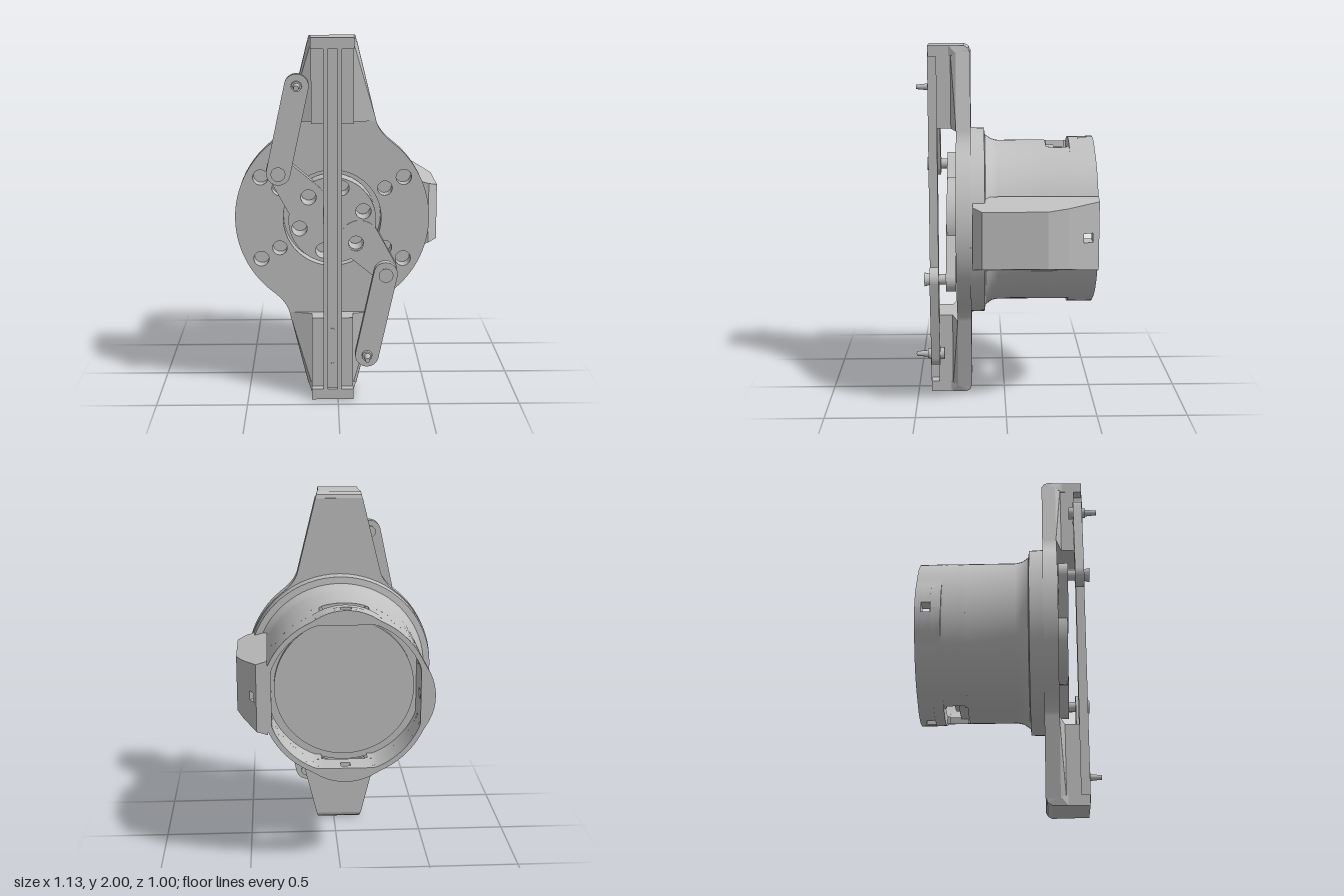
import * as THREE from 'three';
import { toCreasedNormals } from 'three/addons/utils/BufferGeometryUtils.js';
import { ConvexGeometry } from 'three/addons/geometries/ConvexGeometry.js';

const grey = new THREE.MeshStandardMaterial({ color: 0xc0c0c0 });
grey.name = 'plain grey';
const PI = Math.PI;

export function createModel() {
  const root = new THREE.Group();
  // Everything is laid out around the main axis
  const unit = new THREE.Group();
  unit.name = 'gripperUnit';
  unit.position.set(-0.03, 1, 0);
  root.add(unit);

  const add = (name, geo, parent = unit) => {
    const mesh = new THREE.Mesh(geo, grey);
    mesh.name = name;
    parent.add(mesh);
    return mesh;
  };
  const slab = (name, shape, z0, z1, parent) => {
    const geo = new THREE.ExtrudeGeometry(shape, { depth: z1 - z0, bevelEnabled: false, curveSegments: 40 });
    geo.translate(0, 0, z0);
    return add(name, toCreasedNormals(geo, 0.45), parent);
  };
  const box = (name, x0, x1, y0, y1, z0, z1, parent) =>
    add(name, new THREE.BoxGeometry(x1 - x0, y1 - y0, z1 - z0)
      .translate((x0 + x1) / 2, (y0 + y1) / 2, (z0 + z1) / 2), parent);
  const pin = (name, x, y, z0, z1, r0, r1, parent) =>
    add(name, new THREE.CylinderGeometry(r1, r0, z1 - z0, 12).rotateX(PI / 2)
      .translate(x, y, (z0 + z1) / 2), parent);
  // Convex solid from corner points mirrored in x
  const hull = (name, pts, parent) =>
    add(name, new ConvexGeometry(pts.flatMap(([x, y, z]) =>
      [new THREE.Vector3(x, y, z), new THREE.Vector3(-x, y, z)])), parent);
  const hole = (shape, x, y, r) =>
    shape.holes.push(new THREE.Path().absarc(x, y, r, 0, PI * 2, true));
  // Bar with two round ends of different radius
  const capsule = (x0, y0, r0, x1, y1, r1) => {
    const a = Math.atan2(y1 - y0, x1 - x0);
    const p = Math.acos((r0 - r1) / Math.hypot(x1 - x0, y1 - y0));
    return new THREE.Shape()
      .absarc(x0, y0, r0, a + p, a - p + PI * 2, false)
      .absarc(x1, y1, r1, a - p, a + p, false);
  };

  // Front plate: disc with two tapered arms, centre opening and bolt holes
  const R = 0.535, join = 0.906;
  const jx = R * Math.cos(join), jy = R * Math.sin(join);
  const plate = new THREE.Shape();
  plate.absarc(0, 0, R, -join, join, false);
  plate.quadraticCurveTo(0.255, 0.48, 0.24, 0.54);
  plate.lineTo(0.135, 0.965);
  plate.lineTo(-0.135, 0.965);
  plate.lineTo(-0.24, 0.54);
  plate.quadraticCurveTo(-0.255, 0.48, -jx, jy);
  plate.absarc(0, 0, R, PI - join, PI + join, false);
  plate.quadraticCurveTo(-0.255, -0.48, -0.24, -0.54);
  plate.lineTo(-0.135, -0.965);
  plate.lineTo(0.135, -0.965);
  plate.lineTo(0.24, -0.54);
  plate.quadraticCurveTo(0.255, -0.48, jx, -jy);
  hole(plate, 0, 0, 0.27);
  for (const sx of [-1, 1]) for (const sy of [-1, 1]) {
    hole(plate, sx * 0.393, sy * 0.23, 0.042);
    hole(plate, sx * 0.29, sy * 0.168, 0.04);
  }
  slab('frontPlate', plate, 0.19, 0.27);

  // Housing: raised floor, outer wall, fillet and flange
  const profile = [[0, -0.31], [0.385, -0.31], [0.385, -0.28], [0.43, -0.28], [0.43, -0.23],
    [0.457, -0.23], [0.457, 0.04], [0.465, 0.075], [0.49, 0.11],
    [0.527, 0.115], [0.53, 0.19], [0, 0.19]].map(([r, z]) => new THREE.Vector2(r, z));
  add('housingBody', toCreasedNormals(new THREE.LatheGeometry(profile, 72).rotateX(PI / 2), 0.45));

  // Open rear rim: wall arcs with flats inside and shallow swellings outside
  const wall = (name, a, b, z0, z1, pad) => {
    const n = Math.max(6, Math.round((b - a) * 14));
    const outer = [], inner = [];
    for (let i = 0; i <= n; i++) {
      const t = a + (b - a) * i / n, c = Math.cos(t), s = Math.sin(t);
      const d = Math.abs(t - Math.round(t / (PI / 2)) * PI / 2);
      const r = 0.457 + pad * Math.max(0, 1 - (d / 0.4) ** 2);
      outer.push(new THREE.Vector2(r * c, r * s));
      const clip = (v) => Math.max(-0.4, Math.min(0.4, v * 0.43));
      inner.unshift(new THREE.Vector2(clip(c), clip(s)));
    }
    slab(name, new THREE.Shape([...outer, ...inner]), z0, z1);
  };
  for (let q = 0; q < 4; q++) {
    const a = q * PI / 2, b = a + PI / 2;
    wall('rimEdge', a, b, -0.5, -0.465, 0.023);
    wall('rimHoleBand', a + 0.06, b - 0.06, -0.465, -0.415, 0.023);
    wall('rimInnerBand', a, b, -0.415, -0.36, 0.021);
  }
  // Side walls between the slots, with stepped slot corners
  for (const [z0, z1, gap] of [[-0.36, -0.345, 0.26], [-0.345, -0.245, 0.3], [-0.245, -0.23, 0.26]]) {
    wall('slotWallLeft', -PI / 2 + gap, PI / 2 - gap, z0, z1, 0);
    wall('slotWallRight', PI / 2 + gap, PI * 1.5 - gap, z0, z1, 0);
  }

  // Side block, split around its cross hole; its outer sides flare toward the housing
  const block = (pts, y0, y1) => {
    const geo = new THREE.ExtrudeGeometry(
      new THREE.Shape(pts.map(([x, z]) => new THREE.Vector2(x, -z))), { depth: y1 - y0, bevelEnabled: false });
    geo.rotateX(-PI / 2).translate(0, y0, 0);
    const p = geo.attributes.position;
    for (let i = 0; i < p.count; i++) {
      const y = p.getY(i);
      if (Math.abs(y) > 0.1) p.setY(i, y + Math.sign(y) * (0.59 - p.getX(i)) * 0.3);
    }
    geo.computeVertexNormals();
    add('sideBlock', geo);
  };
  const front = [[0.42, 0.18], [0.54, 0.18], [0.59, 0.13], [0.59, -0.22]];
  const full = [...front, [0.555, -0.33], [0.48, -0.5], [0.42, -0.5]];
  block(full, -0.15, -0.025);
  block(full, 0.025, 0.16);
  block([...front, [0.555, -0.33], [0.517, -0.415], [0.42, -0.415]], -0.025, 0.025);
  block([[0.42, -0.465], [0.495, -0.465], [0.48, -0.5], [0.42, -0.5]], -0.025, 0.025);
  for (const [y, z] of [[0.08, 0.06], [0.005, -0.14], [-0.08, 0.06]])
    box('blockInsert', 0.588, 0.592, y - 0.017, y + 0.017, z - 0.017, z + 0.017);

  // Rotor disc in the plate opening
  const rotor = new THREE.Shape().absarc(0, 0, 0.24, 0, PI * 2, false);
  for (const [x, y] of [[-0.13, 0.13], [0.17, 0.05], [-0.18, -0.045], [0.13, -0.12], [0.05, 0.18], [-0.05, -0.17]])
    hole(rotor, x, y, 0.042);
  slab('rotorDisc', rotor, 0.2, 0.325);

  // Two half-turn copies: arm, end cap, crank ear, link and pins
  for (const turn of [0, PI]) {
    const half = new THREE.Group();
    half.name = turn ? 'lowerArm' : 'upperArm';
    half.rotation.z = turn;
    unit.add(half);
    box('armBlock', -0.114, 0.114, 0.54, 0.96, 0.27, 0.38, half);
    hull('armShoulder', [[0.24, 0.54, 0.268], [0.114, 0.54, 0.3],
      [0.135, 0.965, 0.268], [0.114, 0.965, 0.3]], half);
    hull('armTip', [[0.135, 0.955, 0.19], [0.13, 0.985, 0.2], [0.125, 1, 0.225],
      [0.116, 1, 0.31], [0.116, 0.94, 0.31], [0.135, 0.955, 0.27]], half);
    box('endCap', -0.116, 0.116, 0.94, 1, 0.3, 0.425, half);
    const ear = capsule(-0.29, 0.28, 0.068, -0.15, 0.11, 0.11);
    hole(ear, -0.13, 0.13, 0.042);
    slab('crankEar', ear, 0.275, 0.33, half);
    slab('link', capsule(-0.19, 0.745, 0.065, -0.29, 0.28, 0.065), 0.37, 0.42, half);
    pin('pivotPin', -0.29, 0.28, 0.32, 0.43, 0.03, 0.03, half);
    pin('pivotHead', -0.29, 0.28, 0.42, 0.45, 0.032, 0.04, half);
    pin('fingerPinBase', -0.19, 0.745, 0.345, 0.44, 0.035, 0.028, half);
    pin('fingerPin', -0.19, 0.745, 0.43, 0.505, 0.02, 0.013, half);
  }

  // Grooved guide rail down the front
  box('railBase', -0.05, 0.05, -0.96, 0.96, 0.38, 0.405);
  for (const s of [-1, 1])
    box('railLip', s * 0.0385 - 0.0115, s * 0.0385 + 0.0115, -0.96, 0.96, 0.405, 0.43);
  for (const y of [-0.6, -0.8]) pin('railScrew', 0, y, 0.4, 0.41, 0.01, 0.01);

  return root;
}
